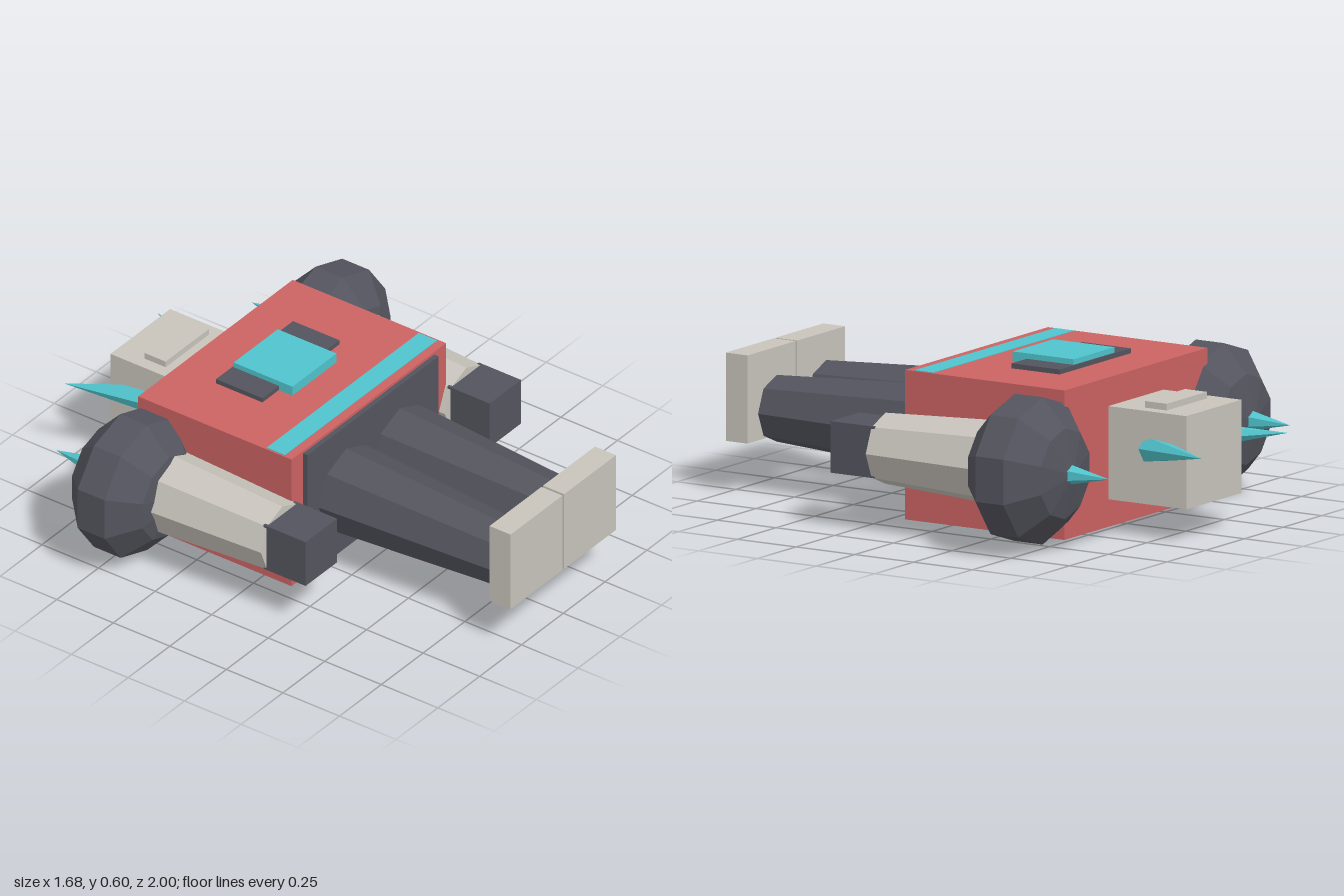
import * as THREE from 'three';

const mat = (name, color) => {
  const m = new THREE.MeshStandardMaterial({ color, flatShading: true });
  m.name = name;
  return m;
};

export function createModel() {
  const red = mat('red', 0xcb6262);
  const dark = mat('charcoal', 0x54545e);
  const grey = mat('warmGrey', 0xc8c4bc);
  const cyan = mat('cyan', 0x50c3cc);
  const model = new THREE.Group();
  model.name = 'lyingRobot';
  const CY = 0.295; // height of the body axis

  const add = (name, geometry, material) => {
    const mesh = new THREE.Mesh(geometry, material);
    mesh.name = name;
    model.add(mesh);
    return mesh;
  };
  // Box given by its minimum and maximum on each axis
  const box = (name, m, x0, x1, y0, y1, z0, z1) =>
    add(name, new THREE.BoxGeometry(x1 - x0, y1 - y0, z1 - z0), m)
      .position.set((x0 + x1) / 2, (y0 + y1) / 2, (z0 + z1) / 2);
  // Tapered eight-sided limb running along z
  const limb = (name, m, x, z0, z1, r0, r1) =>
    add(name, new THREE.CylinderGeometry(r1, r0, z1 - z0, 8).rotateX(Math.PI / 2), m)
      .position.set(x, CY, (z0 + z1) / 2);
  // Pointed cone from a base centre to a tip
  const spike = (name, base, tip, r) => {
    const dir = tip.clone().sub(base);
    const mesh = add(name, new THREE.ConeGeometry(r, dir.length(), 6), cyan);
    mesh.position.copy(base).addScaledVector(dir, 0.5);
    mesh.quaternion.setFromUnitVectors(new THREE.Vector3(0, 1, 0), dir.normalize());
  };

  // Torso, hip plate and chest details
  box('torso', red, -0.462, 0.462, 0.025, 0.567, -0.538, 0.14);
  box('hipPlate', dark, -0.392, 0.392, 0.036, 0.556, 0.12, 0.159);
  box('chestPlate', dark, -0.23, 0.23, 0.003, 0.585, -0.365, -0.16);
  box('chestPanel', cyan, -0.132, 0.132, 0.5, 0.605, -0.36, -0.1);
  box('beltFront', cyan, -0.455, 0.455, 0.566, 0.569, 0.025, 0.105);
  box('beltBack', cyan, -0.455, 0.455, 0.023, 0.026, 0.025, 0.105);

  // Head and visor
  box('head', grey, -0.178, 0.178, 0.125, 0.463, -0.87, -0.53);
  box('visor', grey, -0.13, 0.13, 0.45, 0.487, -0.755, -0.662);

  for (const s of [1, -1]) {
    const side = s > 0 ? 'left' : 'right';
    // Horns on the sides of the head
    spike(side + 'Horn', new THREE.Vector3(s * 0.148, 0.32, -0.698),
      new THREE.Vector3(s * 0.28, 0.34, -1), 0.052);

    // Shoulder ball, flattened along the body, with its spike
    const ball = new THREE.SphereGeometry(0.281, 10, 5)
      .rotateX(Math.PI / 2).rotateZ(Math.PI / 2).scale(1, 1, 0.683);
    add(side + 'Shoulder', ball, dark).position.set(s * 0.585, CY, -0.467);
    spike(side + 'ShoulderSpike', new THREE.Vector3(s * 0.585, CY, -0.62),
      new THREE.Vector3(s * 0.585, CY, -0.81), 0.042);

    // Arm and fist
    limb(side + 'Arm', grey, s * 0.55, -0.45, 0.165, 0.161, 0.129);
    box(side + 'Hand', dark, s * 0.55 - 0.094, s * 0.55 + 0.094, 0.203, 0.39, 0.15, 0.337);

    // Leg and foot
    limb(side + 'Leg', dark, s * 0.16, 0.12, 0.885, 0.167, 0.121);
    box(side + 'Foot', grey, s * 0.16 - 0.155, s * 0.16 + 0.155, 0.19, 0.51, 0.907, 1);
  }
  return model;
}
